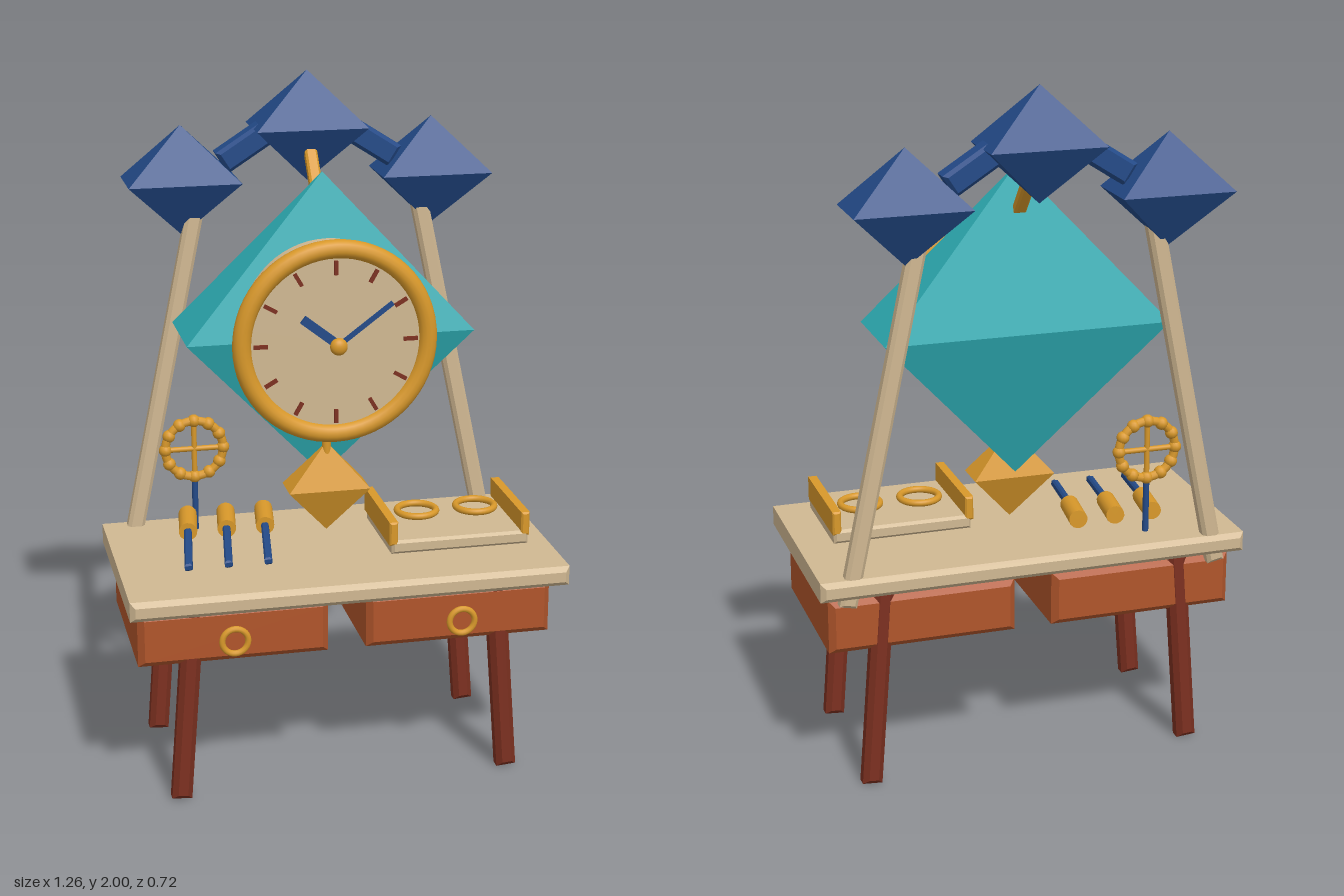
import * as THREE from 'three';

const mat = (name, color) => {
  const m = new THREE.MeshStandardMaterial({ color });
  m.name = name;
  return m;
};

export function createModel() {
  const beige = mat('beige', 0xd0b892), gold = mat('gold', 0xd8982a), navy = mat('navy', 0x234a88);
  const teal = mat('teal', 0x2dacb3), rust = mat('rust', 0xb0552b), mahogany = mat('mahogany', 0x7c3020);
  const model = new THREE.Group();
  model.name = 'clockTable';

  const add = (name, geometry, material, x = 0, y = 0, z = 0, parent = model) => {
    const mesh = new THREE.Mesh(geometry, material);
    mesh.name = name;
    mesh.position.set(x, y, z);
    parent.add(mesh);
    return mesh;
  };

  // Box with chamfered edges, centred
  const chamferBox = (w, h, d, b) => {
    const x = w / 2 - b, y = h / 2 - b;
    const shape = new THREE.Shape([[-x, -y], [x, -y], [x, y], [-x, y]].map(p => new THREE.Vector2(...p)));
    return new THREE.ExtrudeGeometry(shape, {
      depth: d - 2 * b, bevelThickness: b, bevelSize: b, bevelSegments: 1,
    }).translate(0, 0, b - d / 2);
  };

  // Double pyramid on a rectangular base, given half sizes
  const bipyramid = (hx, hy, hz) =>
    new THREE.OctahedronGeometry(1).rotateY(Math.PI / 4).scale(hx * Math.SQRT2, hy, hz * Math.SQRT2);

  // Place a y-aligned part between two points
  const between = (name, a, b, makeGeometry, material) => {
    const p = new THREE.Vector3(...a), q = new THREE.Vector3(...b);
    const mid = p.clone().add(q).multiplyScalar(0.5);
    const mesh = add(name, makeGeometry(p.distanceTo(q)), material, mid.x, mid.y, mid.z);
    mesh.quaternion.setFromUnitVectors(new THREE.Vector3(0, 1, 0), q.sub(p).normalize());
    return mesh;
  };
  const rod = (r, sides = 16) => len => new THREE.CylinderGeometry(r, r, len, sides);

  // Table
  add('tabletop', chamferBox(1.26, 0.058, 0.65, 0.014), beige, 0, 0.632, 0.035);
  for (const s of [-1, 1]) {
    add('drawer', chamferBox(0.545, 0.16, 0.525, 0.018), rust, s * 0.328, 0.508, 0.013);
    add('drawerRing', new THREE.TorusGeometry(0.037, 0.009, 10, 28), gold, s * 0.33, 0.497, 0.295);
    for (const z of [0.245, -0.221]) {
      between('leg', [s * 0.485, 0.005, z], [s * 0.438, 0.61, z], len => chamferBox(0.058, len, 0.06, 0.015), mahogany);
    }
  }

  // Upper frame with its three crystals
  for (const s of [-1, 1]) {
    between('framePost', [s * 0.55, 0.575, -0.253], [s * 0.325, 1.65, -0.264],
      len => chamferBox(0.05, len, 0.046, 0.01), beige);
    add('sideCrystal', bipyramid(0.163, 0.16, 0.092), navy, s * 0.37, 1.695, -0.272);
    between('crystalLink', [s * 0.09, 1.85, -0.265], [s * 0.255, 1.745, -0.265],
      len => chamferBox(0.07, len, 0.066, 0.01), navy);
  }
  add('topCrystal', bipyramid(0.163, 0.16, 0.092), navy, 0, 1.84, -0.272);
  between('hanger', [0, 1.625, -0.1], [0, 1.8, -0.25], len => chamferBox(0.036, len, 0.03, 0.006), gold);

  // Clock
  add('clockBody', bipyramid(0.415, 0.45, 0.135), teal, 0, 1.295, -0.068);
  add('clockDrum', new THREE.CylinderGeometry(0.27, 0.27, 0.13, 64).rotateX(Math.PI / 2), beige, 0, 1.295, 0.045);
  add('clockRim', new THREE.TorusGeometry(0.267, 0.027, 14, 64), gold, 0, 1.295, 0.104);
  for (let i = 0; i < 12; i++) {
    const a = i * Math.PI / 6;
    add('hourMark', new THREE.BoxGeometry(0.011, 0.04, 0.008), mahogany,
      Math.sin(a) * 0.215, 1.295 + Math.cos(a) * 0.215, 0.113).rotation.z = -a;
  }
  between('hourHand', [0, 1.295, 0.131], [-0.098, 1.372, 0.131], len => new THREE.BoxGeometry(0.025, len, 0.012), navy);
  between('minuteHand', [0, 1.295, 0.144], [0.155, 1.41, 0.144], len => new THREE.BoxGeometry(0.012, len, 0.01), navy);
  add('handHub', new THREE.SphereGeometry(0.025, 20, 14).scale(1, 1, 0.75), gold, 0, 1.293, 0.147);

  // Pendulum
  add('pendulumBob', bipyramid(0.12, 0.135, 0.052), gold, 0, 0.826, -0.014);
  between('pendulumRod', [0, 0.9, -0.014], [0, 1.06, -0.014], rod(0.013), gold);

  // Beaded wheel on a stem
  const wheel = new THREE.Group();
  wheel.name = 'wheel';
  wheel.position.set(-0.362, 0.912, -0.18);
  model.add(wheel);
  add('wheelRim', new THREE.TorusGeometry(0.086, 0.013, 10, 40), gold, 0, 0, 0, wheel);
  for (let i = 0; i < 12; i++) {
    const a = i * Math.PI / 6;
    add('wheelBead', new THREE.SphereGeometry(0.019, 12, 8), gold, Math.cos(a) * 0.086, Math.sin(a) * 0.086, 0, wheel);
  }
  for (const a of [0, Math.PI / 2]) {
    add('wheelSpoke', new THREE.CylinderGeometry(0.008, 0.008, 0.17, 10), gold, 0, 0, 0, wheel).rotation.z = a;
  }
  between('wheelStem', [-0.362, 0.655, -0.18], [-0.362, 0.825, -0.18], rod(0.009), navy);

  // Row of three hand tools
  for (let i = 0; i < 3; i++) {
    const x = i * 0.114;
    between('toolHandle', [x - 0.388, 0.714, -0.165], [x - 0.408, 0.71, -0.03], rod(0.027), gold);
    between('toolBlade', [x - 0.407, 0.71, -0.04], [x - 0.443, 0.69, 0.2],
      len => chamferBox(0.022, len, 0.022, 0.005), navy);
  }

  // Tray with end rails and two rings
  add('tray', chamferBox(0.405, 0.04, 0.315, 0.008), beige, 0.34, 0.712, 0.074);
  for (const x of [0.143, 0.533]) {
    add('trayRail', chamferBox(0.025, 0.07, 0.315, 0.005), gold, x, 0.753, 0.074);
  }
  for (const x of [0.255, 0.432]) {
    add('trayRing', new THREE.TorusGeometry(0.057, 0.01, 10, 36).rotateX(Math.PI / 2), gold, x, 0.755, 0.054);
  }
  return model;
}
